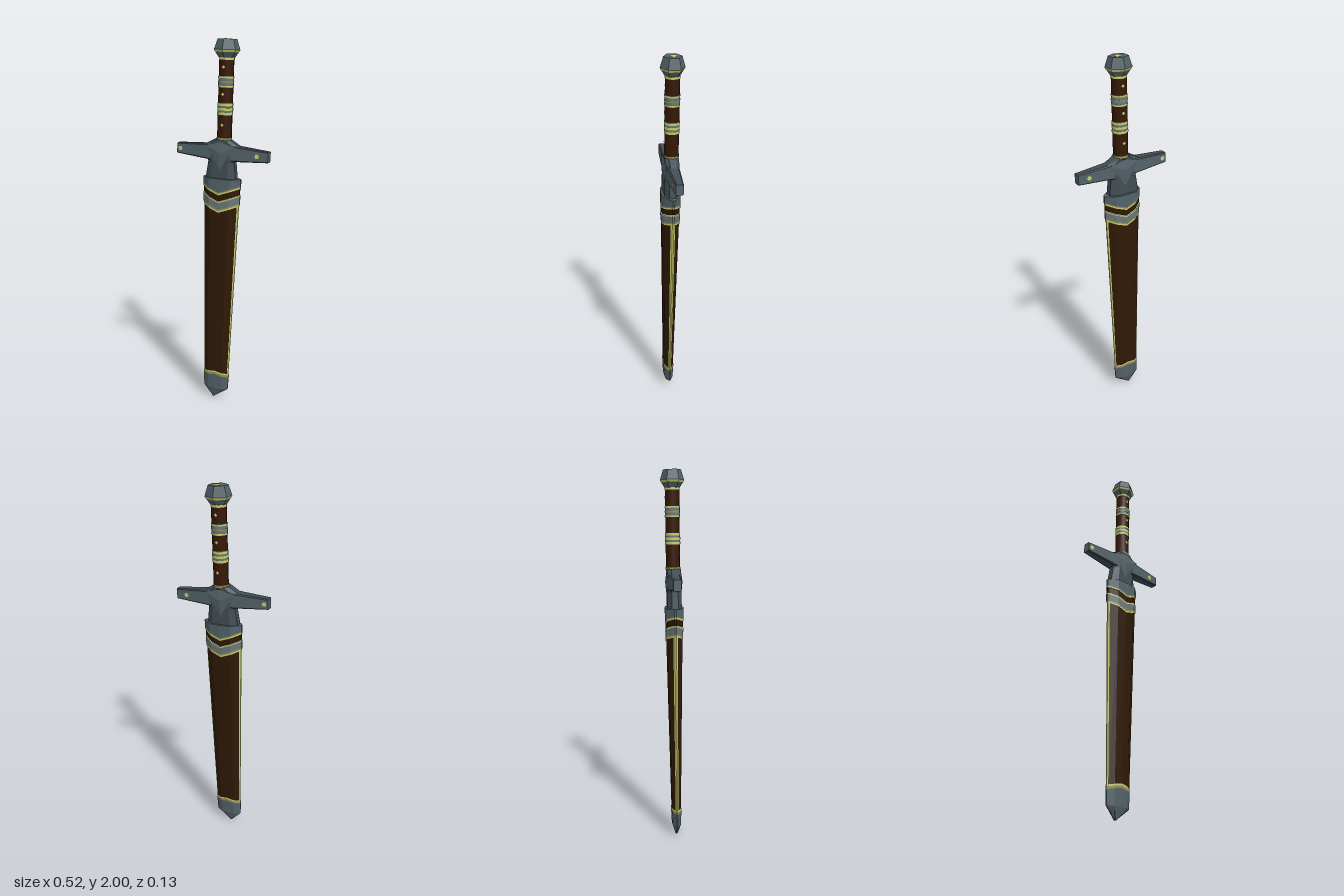
import * as THREE from 'three';

const mat = (name, color) => {
  const m = new THREE.MeshStandardMaterial({ color });
  m.name = name;
  return m;
};

// Outlines as [x, z] fractions of half width and half depth, running from +x towards +z
const quarter = [[1, 0.1], [0.93, 0.28], [0.55, 0.9]];
const half = [...quarter, [0, 1], ...quarter.map(([x, z]) => [-x, z]).reverse()];
const SHEATH = [...half, ...half.map(([x, z]) => [-x, -z])];
const chamfered = (u, v) => [[1, -v], [1, v], [u, 1], [-u, 1], [-1, v], [-1, -v], [-u, -1], [u, -1]];
const BLOCK = chamfered(0.6, 0.45);
const ARM = chamfered(0.85, 0.75);

// Faceted skin over rings of [x, y, z] points; optional caps; edge columns may take material 1
function loft(rings, caps = false, isEdge = null) {
  const faces = [[], []];
  const n = rings[0].length;
  for (let i = 0; i < rings.length - 1; i++) {
    for (let j = 0; j < n; j++) {
      const k = (j + 1) % n;
      const a = rings[i][j], b = rings[i][k], c = rings[i + 1][j], d = rings[i + 1][k];
      faces[isEdge && isEdge(j) ? 1 : 0].push(...a, ...c, ...b, ...b, ...c, ...d);
    }
  }
  if (caps) {
    const lo = rings[0], hi = rings[rings.length - 1];
    for (let j = 1; j < n - 1; j++) {
      faces[0].push(...lo[0], ...lo[j], ...lo[j + 1], ...hi[0], ...hi[j + 1], ...hi[j]);
    }
  }
  const g = new THREE.BufferGeometry();
  g.setAttribute('position', new THREE.Float32BufferAttribute([...faces[0], ...faces[1]], 3));
  g.addGroup(0, faces[0].length / 3, 0);
  if (faces[1].length) g.addGroup(faces[0].length / 3, faces[1].length / 3, 1);
  g.computeVertexNormals();
  return g;
}

const ring = (outline, y, w, d, dx = 0) => outline.map(([x, z]) => [x * w + dx, y, z * d]);

// Tapering scabbard ring whose height dips by drop at the middle of each face
const sheathRing = (y, drop, grow) => SHEATH.map(([x, z]) => [
  x * (0.07 + 0.026 * y + grow), y - drop * (1 - Math.abs(x)), z * (0.024 + 0.017 * y + grow)]);

export function createModel() {
  const steel = mat('steel', 0x54636a);
  const darkSteel = mat('darkSteel', 0x424e54);
  const lightSteel = mat('lightSteel', 0x6a787c);
  const gold = mat('gold', 0xc8d06c);
  const dullGold = mat('dullGold', 0x8f8f56);
  const leather = mat('scabbardLeather', 0x2f1905);
  const gripLeather = mat('gripLeather', 0x361806);

  const model = new THREE.Group();
  model.name = 'sheathedSword';
  const sword = new THREE.Group();
  sword.name = 'sword';
  sword.position.set(-0.041, 0, 0.02);
  sword.rotation.set(-0.009, -0.022, -0.03);
  model.add(sword);
  const add = (name, geometry, material, parent = sword) => {
    const mesh = new THREE.Mesh(geometry, material);
    mesh.name = name;
    parent.add(mesh);
    return mesh;
  };

  // Scabbard body with gold piping down both edges
  const piping = (j) => [0, 5, 6].includes(j % 7);
  add('scabbardBody', loft([sheathRing(0.15, -0.015, 0), sheathRing(1.15, 0.038, 0)], false, piping),
    [leather, gold]);

  // Chevron bands of the throat: top, bottom, material, outward growth
  [
    ['throatRim', 1.254, 1.248, dullGold, 0.004],
    ['throatTrim', 1.248, 1.24, gold, 0.004],
    ['throatStripe', 1.24, 1.206, leather, 0.001],
    ['chevronUpperTrim', 1.206, 1.198, gold, 0.004],
    ['chevron', 1.198, 1.162, lightSteel, 0.004],
    ['chevronRim', 1.162, 1.154, dullGold, 0.004],
    ['chevronLowerTrim', 1.154, 1.145, gold, 0.003],
  ].forEach(([name, top, bottom, m, grow]) =>
    add(name, loft([sheathRing(bottom, 0.038, grow), sheathRing(top, 0.038, grow)]), m));
  add('throat', loft([sheathRing(1.254, 0.038, 0.004), sheathRing(1.29, 0, 0.004)], true), steel);

  // Chape: pointed metal end with gold rim
  add('chape', loft([
    ring(SHEATH, 0.002, 0.002, 0.006, -0.014),
    ring(SHEATH, 0.065, 0.073, 0.025),
    sheathRing(0.14, -0.015, 0.003),
  ]), steel);
  add('chapeRim', loft([sheathRing(0.14, -0.015, 0.003), sheathRing(0.153, -0.015, 0.003)]), dullGold);
  add('chapeTrim', loft([sheathRing(0.153, -0.015, 0.003), sheathRing(0.162, -0.015, 0.003)]), gold);

  // Crossguard: flared block, two tapering arms, raised shields front and back
  const guard = new THREE.Group();
  guard.name = 'crossguard';
  guard.position.set(-0.002, 1.425, 0);
  guard.rotation.z = -0.015;
  sword.add(guard);
  add('guardBlock', loft([
    ring(BLOCK, -0.14, 0.086, 0.037),
    ring(BLOCK, -0.05, 0.074, 0.037),
    ring(BLOCK, 0.038, 0.096, 0.036),
    ring(BLOCK, 0.068, 0.044, 0.036),
  ], true), darkSteel, guard);
  for (const side of [1, -1]) {
    // Arms are darker above and below than on their front and back
    const arm = loft([ring(ARM, 0.04, 0.043, 0.033), ring(ARM, 0.259, 0.028, 0.02)], true, (j) => j % 4 !== 2);
    arm.rotateZ(-side * Math.PI / 2);
    add(side > 0 ? 'leftArm' : 'rightArm', arm, [steel, darkSteel], guard);

    // Worn gold inlay near each arm tip
    const inlay = new THREE.CircleGeometry(0.013, 6);
    const reach = side > 0 ? 0.2 : 0.238;
    for (const face of [1, -1]) {
      const s = add('armInlay', inlay, gold, guard);
      s.position.set(side * reach, 0, face * (0.0362 - 0.0594 * (reach - 0.012)));
      s.rotation.y = (face > 0 ? 0 : Math.PI) + face * side * 0.0594;
    }

    const rim = [[-0.085, 0.036], [0, -0.11], [0.085, 0.036], [0, 0.062]];
    const points = rim.flatMap((p, i) => {
      const q = rim[(i + 1) % 4];
      return [...p, 0.035, ...q, 0.035, 0, 0.0, 0.046];
    });
    const shield = new THREE.BufferGeometry();
    shield.setAttribute('position', new THREE.Float32BufferAttribute(points, 3));
    shield.computeVertexNormals();
    add('guardShield', shield, steel, guard).rotation.y = side > 0 ? 0 : Math.PI;
  }

  // Hilt sits slightly off the scabbard axis
  const hilt = new THREE.Group();
  hilt.name = 'hilt';
  hilt.position.set(0.003, 0, -0.003);
  sword.add(hilt);

  // Grip: leather core, wrapped bands and small studs
  const drum = (name, y0, y1, r, m) => {
    const d = add(name, new THREE.CylinderGeometry(r, r, y1 - y0, 12), m, hilt);
    d.position.y = (y0 + y1) / 2;
    d.scale.z = 0.95;
  };
  drum('grip', 1.48, 1.92, 0.039, gripLeather);
  drum('gripFoot', 1.49, 1.503, 0.041, dullGold);
  drum('gripNeck', 1.896, 1.908, 0.041, gold);
  // Band height, trim thickness and middle trim
  for (const [y, t, middle] of [[1.65, 0.013, gold], [1.787, 0.008, dullGold]]) {
    drum('gripBand', y - 0.028, y + 0.028, 0.041, lightSteel);
    for (const dy of [-0.023, 0, 0.023]) {
      drum('gripBandTrim', y + dy - t / 2, y + dy + t / 2, 0.042, dy ? gold : middle);
    }
  }
  for (const y of [1.57, 1.725, 1.86]) {
    for (const s of [1, -1]) {
      const stud = add('gripStud', new THREE.CircleGeometry(0.009, 4), gold, hilt);
      stud.position.set(0, y, s * 0.0385);
      stud.rotation.y = s > 0 ? 0 : Math.PI;
    }
  }

  // Six-sided pommel with a gold rim and a disc on top
  const hex = (name, y0, y1, r0, r1, m) => {
    const g = new THREE.CylinderGeometry(r1, r0, y1 - y0, 6).toNonIndexed();
    g.computeVertexNormals();
    const mesh = add(name, g, m, hilt);
    mesh.position.y = (y0 + y1) / 2;
    mesh.scale.x = 1.1;
  };
  hex('pommelBase', 1.907, 1.934, 0.039, 0.056, steel);
  hex('pommelRim', 1.934, 1.946, 0.057, 0.063, gold);
  hex('pommelCap', 1.946, 1.998, 0.062, 0.046, steel);
  const disc = add('pommelDisc', new THREE.CylinderGeometry(0.02, 0.02, 0.003, 20), gold, hilt);
  disc.position.set(0.004, 1.9985, -0.004);

  return model;
}
